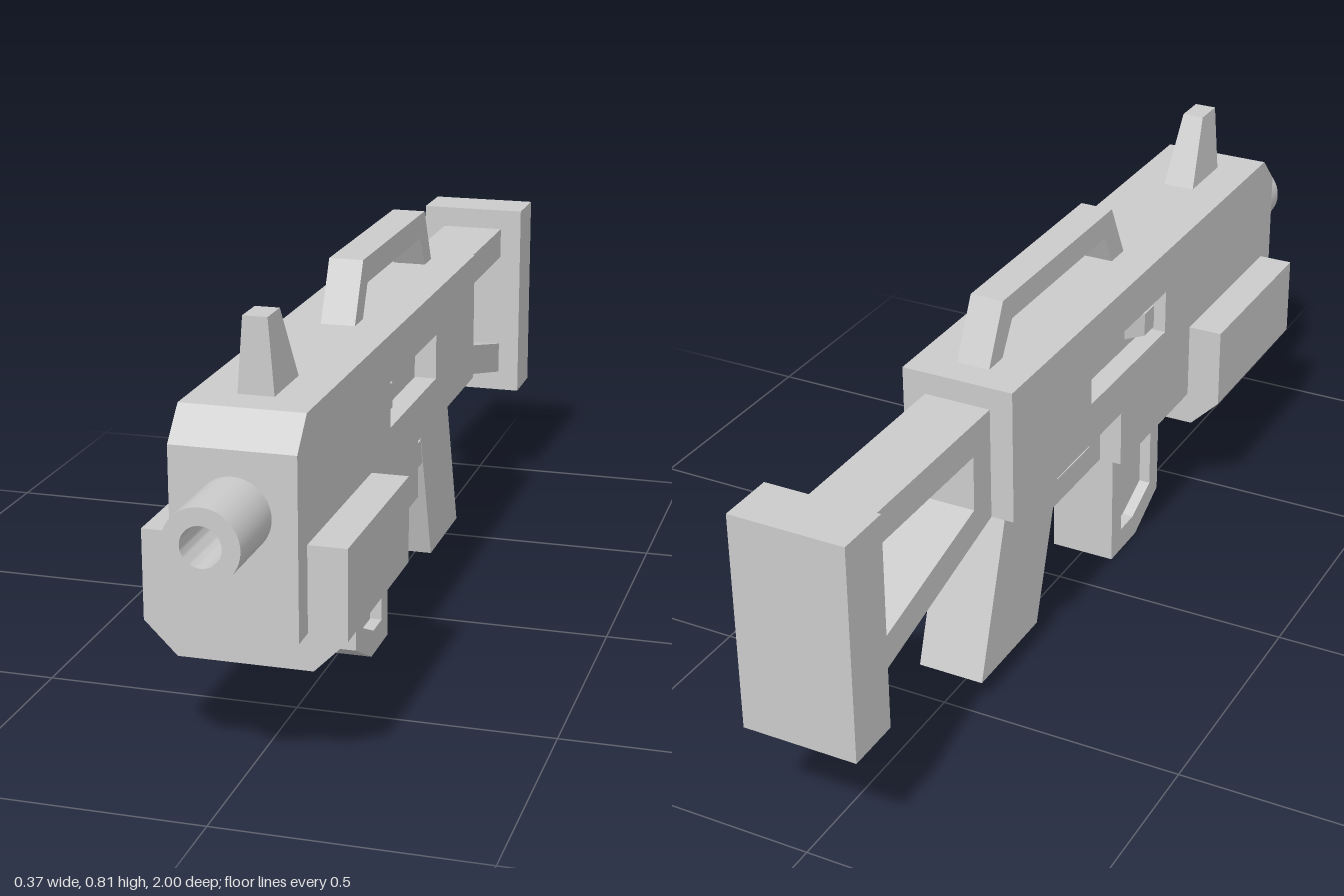
import * as THREE from 'three';
import { toCreasedNormals } from 'three/addons/utils/BufferGeometryUtils.js';

export function createModel() {
  const model = new THREE.Group();
  const material = new THREE.MeshStandardMaterial({ color: 0xcccccc });

  const add = (name, geometry) => {
    const mesh = new THREE.Mesh(geometry, material);
    mesh.name = name;
    model.add(mesh);
    return mesh;
  };
  const vectors = (points) => points.map(([a, b]) => new THREE.Vector2(a, b));

  // Side profile given as [z, y], extruded to a width centred on x = 0
  const side = (points, halfWidth, hole) => {
    const shape = new THREE.Shape(vectors(points));
    if (hole) shape.holes.push(new THREE.Path(vectors(hole)));
    const geometry = new THREE.ExtrudeGeometry(shape, { depth: halfWidth * 2, bevelEnabled: false });
    return geometry.translate(0, 0, -halfWidth).rotateY(-Math.PI / 2);
  };
  const box = (x, y0, y1, z0, z1) =>
    new THREE.BoxGeometry(x * 2, y1 - y0, z1 - z0).translate(0, (y0 + y1) / 2, (z0 + z1) / 2);

  // Main body with a side window, closed inside by a narrower core
  add('body', side(
    [[0.84, 0.28], [0.84, 0.617], [0.785, 0.675], [-0.42, 0.675], [-0.42, 0.4], [0.05, 0.4], [0.05, 0.28]],
    0.115,
    [[0.26, 0.49], [-0.09, 0.49], [-0.09, 0.583], [0.26, 0.583]],
  ));
  add('windowCore', box(0.07, 0.48, 0.593, -0.1, 0.27));

  // Wedge-shaped bolt in each window
  for (const s of [1, -1]) {
    const wedge = new THREE.Shape(vectors([[s * 0.06, 0.235], [s * 0.1, 0.235], [s * 0.1, 0.19], [s * 0.06, 0.145]]));
    const geometry = new THREE.ExtrudeGeometry(wedge, { depth: 0.05, bevelEnabled: false });
    add(s > 0 ? 'boltLeft' : 'boltRight', geometry.rotateX(Math.PI / 2).translate(0, 0.56, 0));
  }

  // Hollow barrel
  const barrel = new THREE.LatheGeometry(
    vectors([[0.069, 0], [0.069, 0.17], [0.037, 0.17], [0.037, 0.012], [0, 0.012]]), 40);
  add('barrel', toCreasedNormals(barrel.rotateX(Math.PI / 2), 0.6)).position.set(0, 0.501, 0.83);

  // Wide fore-end with chamfered lower edges
  const foreEnd = new THREE.Shape(vectors([
    [-0.187, 0.442], [-0.187, 0.272], [-0.125, 0.21], [0.125, 0.21], [0.187, 0.272], [0.187, 0.442]]));
  add('foreEnd', new THREE.ExtrudeGeometry(foreEnd, { depth: 0.4, bevelEnabled: false }).translate(0, 0, 0.39));

  // Front sight, tapering towards the top
  const sight = side([[0.71, 0.67], [0.71, 0.815], [0.643, 0.815], [0.572, 0.67]], 0.034);
  const p = sight.attributes.position;
  for (let i = 0; i < p.count; i++) if (p.getY(i) > 0.8) p.setX(i, p.getX(i) * 0.67);
  sight.computeVertexNormals();
  add('frontSight', sight);

  // Carry handle
  add('carryHandle', side([
    [0.225, 0.67], [0.165, 0.791], [-0.3, 0.791], [-0.36, 0.67],
    [-0.308, 0.67], [-0.265, 0.74], [0.135, 0.74], [0.17, 0.67]], 0.034));

  // Magazine: a core inside a U-shaped frame, leaving a recess on both sides
  add('magazineFrame', side([
    [0.34, 0.3], [0.34, 0.058], [0.23, 0], [0.11, 0], [0.11, 0.3],
    [0.155, 0.3], [0.155, 0.05], [0.215, 0.05], [0.3, 0.09], [0.3, 0.3]], 0.069));
  add('magazineCore', side([[0.31, 0.3], [0.31, 0.08], [0.22, 0.04], [0.15, 0.04], [0.15, 0.3]], 0.045));

  // Grip and trigger guard
  add('grip', side([[-0.125, 0.41], [-0.24, 0.05], [-0.472, 0.05], [-0.355, 0.41]], 0.069));
  add('triggerGuard', side([
    [0.05, 0.41], [0.05, 0.28], [-0.18, 0.28], [-0.18, 0.335], [0, 0.335], [0, 0.41]], 0.068));

  // Open stock frame and butt plate
  add('stockFrame', side(
    [[-0.41, 0.63], [-0.89, 0.63], [-0.89, 0.28], [-0.42, 0.4], [-0.41, 0.4]], 0.068,
    [[-0.485, 0.563], [-0.486, 0.45], [-0.888, 0.35], [-0.888, 0.563]]));
  add('buttPlate', box(0.115, 0.237, 0.675, -1, -0.885));

  return model;
}
